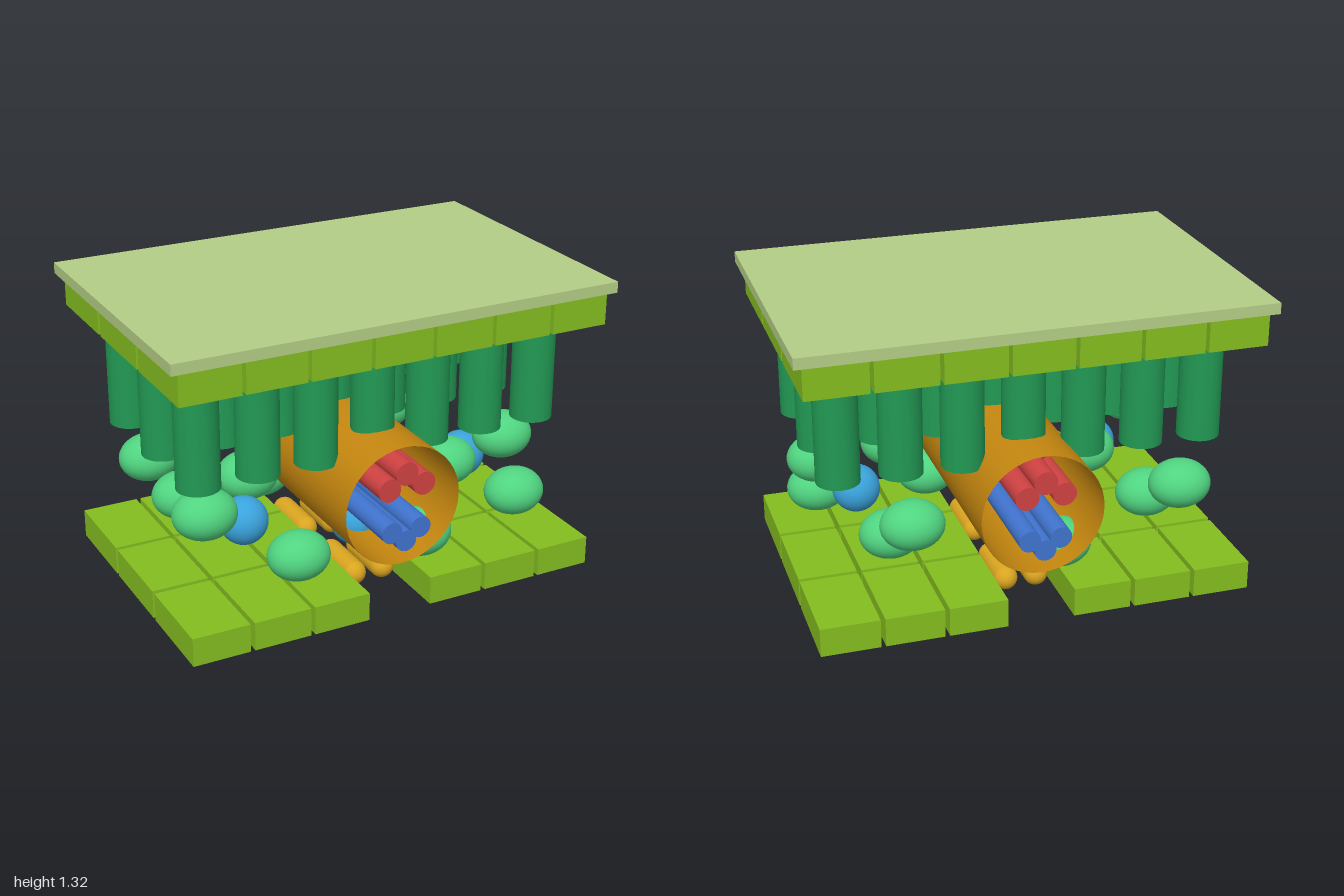
import * as THREE from 'three';

const mat = (name, color, side = THREE.FrontSide) => {
  const m = new THREE.MeshStandardMaterial({ color, side });
  m.name = name;
  return m;
};

export function createModel() {
  const model = new THREE.Group();
  const M = {
    cuticle: mat('pale green', 0xb3cd85),
    epidermis: mat('lime green', 0x84bd20),
    palisade: mat('dark green', 0x229954),
    spongy: mat('light green', 0x50d480),
    air: mat('sky blue', 0x3aa3dc),
    sheath: mat('ochre', 0xc4860f, THREE.DoubleSide),
    xylem: mat('red', 0xd04242),
    phloem: mat('blue', 0x4074cf),
    guard: mat('gold', 0xdaa520),
  };

  const add = (name, geometry, material, x, y, z) => {
    const mesh = new THREE.Mesh(geometry, material);
    mesh.name = name;
    mesh.position.set(x, y, z);
    model.add(mesh);
    return mesh;
  };
  // cylinder lying along z
  const rod = (r, length, open = false) =>
    new THREE.CylinderGeometry(r, r, length, 40, 1, open).rotateX(Math.PI / 2);

  // waxy top layer
  add('cuticle', new THREE.BoxGeometry(2, 0.048, 1.312), M.cuticle, 0, 1.296, 0);

  // cell layers in a 7 by 3 grid; the lower one leaves its middle column open
  const upper = new THREE.BoxGeometry(0.262, 0.135, 0.407);
  const lower = new THREE.BoxGeometry(0.253, 0.127, 0.407);
  const column = new THREE.CylinderGeometry(0.0925, 0.0925, 0.47, 32);
  for (let i = -3; i <= 3; i++) {
    for (let k = -1; k <= 1; k++) {
      add('upperEpidermisCell', upper, M.epidermis, i * 0.278, 1.1975, k * 0.429);
      add('palisadeCell', column, M.palisade, i * 0.2635, 0.885, k * 0.371);
      if (i !== 0) add('lowerEpidermisCell', lower, M.epidermis, i * 0.2727, 0.0635, k * 0.429);
    }
  }

  // spongy cells, flattened spheres
  const spongy = new THREE.SphereGeometry(1, 32, 20).scale(0.138, 0.106, 0.121);
  [
    [-0.762, 0.518, 0.36], [-0.7, 0.44, -0.41], [-0.625, 0.32, -0.22], [-0.41, 0.463, 0],
    [-0.37, 0.262, 0.42], [-0.155, 0.243, -0.41], [0.21, 0.243, 0.43], [0.406, 0.48, 0.297],
    [0.5, 0.438, -0.437], [0.535, 0.28, -0.193], [0.76, 0.495, 0.198], [0.74, 0.28, 0.344],
  ].forEach((p) => add('spongyCell', spongy, M.spongy, ...p));

  // air pockets
  const air = new THREE.SphereGeometry(0.105, 32, 20);
  [[-0.535, 0.38, 0.235], [0, 0.245, 0.215], [0.62, 0.38, 0.08]]
    .forEach((p) => add('airSpace', air, M.air, ...p));

  // vein: open sheath with two bundles of vessels
  add('bundleSheath', rod(0.265, 1.287, true), M.sheath, 0, 0.505, 0);
  const xylem = rod(0.051, 1.348);
  [[0, 0.663], [-0.08, 0.604], [0.08, 0.604]]
    .forEach(([x, y]) => add('xylemVessel', xylem, M.xylem, x, y, 0));
  const phloem = rod(0.047, 1.348);
  [[0, 0.358], [-0.067, 0.407], [0.067, 0.407]]
    .forEach(([x, y]) => add('phloemVessel', phloem, M.phloem, x, y, 0));

  // guard cells, two pairs in the gap of the lower layer
  const guard = new THREE.CapsuleGeometry(0.053, 0.215, 10, 24).rotateX(Math.PI / 2);
  for (const z of [-0.235, 0.235])
    for (const x of [-0.068, 0.068]) add('guardCell', guard, M.guard, x, 0.066, z);

  return model;
}
